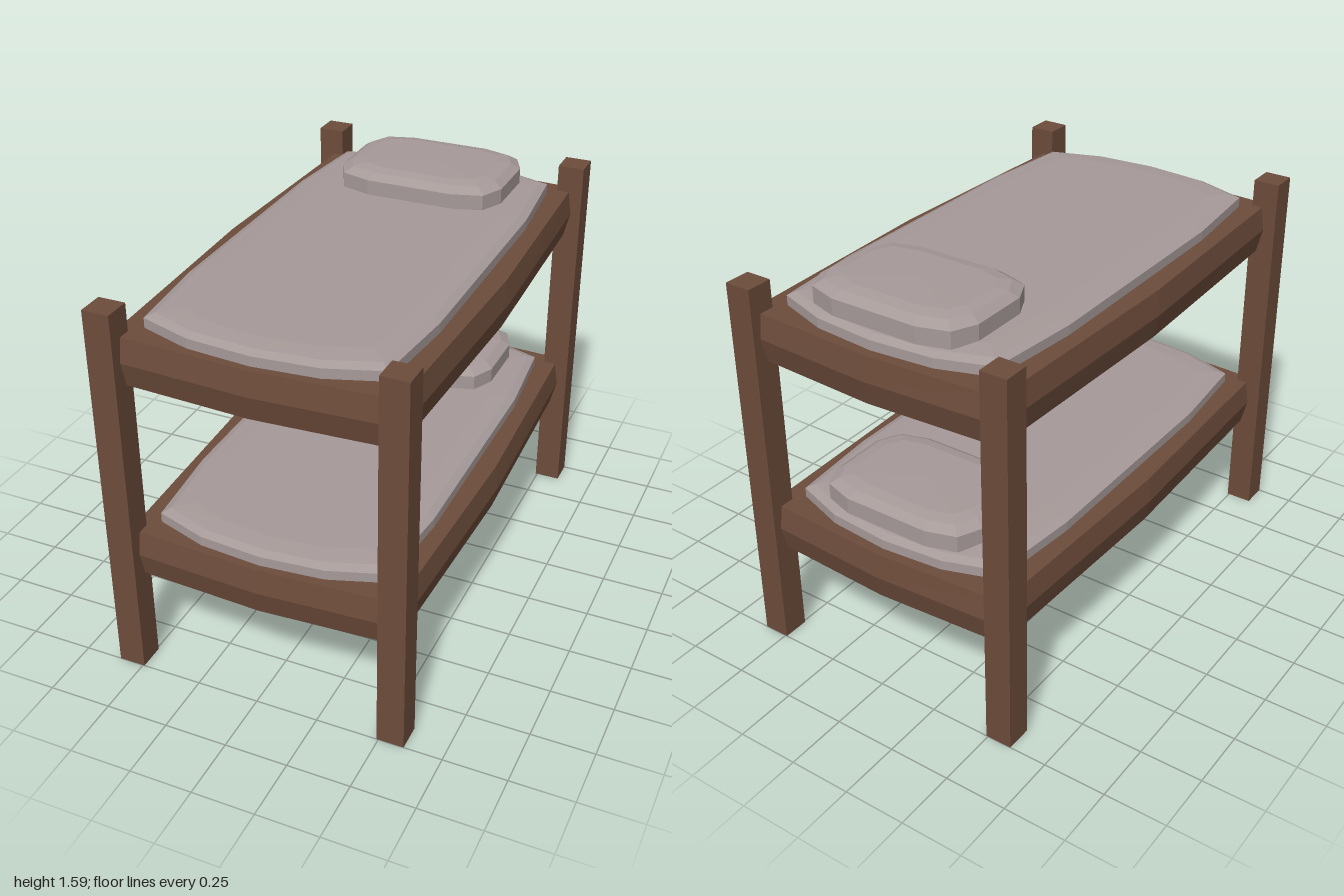
import * as THREE from 'three';

// Mirrors a quarter outline, listed from the +x side round to the -z end, into a closed loop.
function mirrorOutline(quarter) {
  const half = [...quarter];
  for (const [x, z] of [...quarter].reverse()) if (x > 0) half.push([-x, z]);
  const loop = [...half];
  for (const [x, z] of [...half].reverse()) if (z < 0) loop.push([x, -z]);
  return loop;
}

// Stacks inset copies of an outline ([height, inset] per ring) and closes both ends with shallow crowns.
function loft(outline, rings, bottomY, topY) {
  const n = outline.length;
  const halfX = Math.max(...outline.map((p) => p[0]));
  const halfZ = Math.max(...outline.map((p) => p[1]));
  const positions = [];
  const index = [];
  for (const [y, inset] of rings) {
    for (const [x, z] of outline) positions.push(x * (1 - inset / halfX), y, z * (1 - inset / halfZ));
  }
  for (let r = 0; r < rings.length - 1; r++) {
    for (let i = 0; i < n; i++) {
      const a = r * n + i, b = r * n + (i + 1) % n;
      index.push(a, b, b + n, a, b + n, a + n);
    }
  }
  const bottom = positions.length / 3;
  positions.push(0, bottomY, 0, 0, topY, 0);
  const last = (rings.length - 1) * n;
  for (let i = 0; i < n; i++) {
    const j = (i + 1) % n;
    index.push(bottom, j, i, bottom + 1, last + i, last + j);
  }
  const geometry = new THREE.BufferGeometry();
  geometry.setAttribute('position', new THREE.Float32BufferAttribute(positions, 3));
  geometry.setIndex(index);
  const flat = geometry.toNonIndexed();
  flat.computeVertexNormals();
  return flat;
}

export function createModel() {
  const wood = new THREE.MeshStandardMaterial({ name: 'brown wood', color: 0x6d4c3b });
  const cloth = new THREE.MeshStandardMaterial({ name: 'grey cloth', color: 0xa69a99 });
  const model = new THREE.Group();
  model.name = 'bunkBed';

  const add = (parent, name, geometry, material, x, y, z) => {
    const mesh = new THREE.Mesh(geometry, material);
    mesh.name = name;
    mesh.position.set(x, y, z);
    parent.add(mesh);
  };

  // Four square corner posts
  const postGeometry = new THREE.BoxGeometry(0.107, 1.54, 0.107);
  for (const x of [-1, 1]) {
    for (const z of [-1, 1]) {
      const name = (z > 0 ? 'front' : 'back') + (x > 0 ? 'Left' : 'Right') + 'Post';
      add(model, name, postGeometry, wood, x * 0.5465, 0.77, z * 0.9465);
    }
  }

  // Bowed wooden frame, creased along the middle of its sides
  const frameGeometry = loft(
    mirrorOutline([[0.585, 0], [0.552, -0.96], [0, -0.99]]),
    [[0, 0.025], [0.1, 0], [0.195, 0.015]], -0.005, 0.197);

  // Mattress with bevelled edge and slightly raised middle
  const mattressGeometry = loft(
    mirrorOutline([[0.492, -0.47], [0.457, -0.85], [0.25, -0.92], [0, -0.942]]),
    [[0, 0], [0.042, 0], [0.056, 0.03], [0.063, 0.1]], 0, 0.066);

  // Plump rounded pillow
  const pillowGeometry = loft(
    mirrorOutline([[0.345, -0.118], [0.3, -0.212], [0.18, -0.249]]),
    [[0, 0], [0.067, 0], [0.09, 0.035], [0.099, 0.08]], 0, 0.102);

  // The same bunk at two heights
  for (const [name, y] of [['lowerBunk', 0.41], ['upperBunk', 1.235]]) {
    const bunk = new THREE.Group();
    bunk.name = name;
    bunk.position.y = y;
    add(bunk, 'frame', frameGeometry, wood, 0.004, 0, -0.005);
    add(bunk, 'mattress', mattressGeometry, cloth, 0.004, 0.192, 0);
    add(bunk, 'pillow', pillowGeometry, cloth, 0.02, 0.25, -0.652);
    model.add(bunk);
  }
  return model;
}
